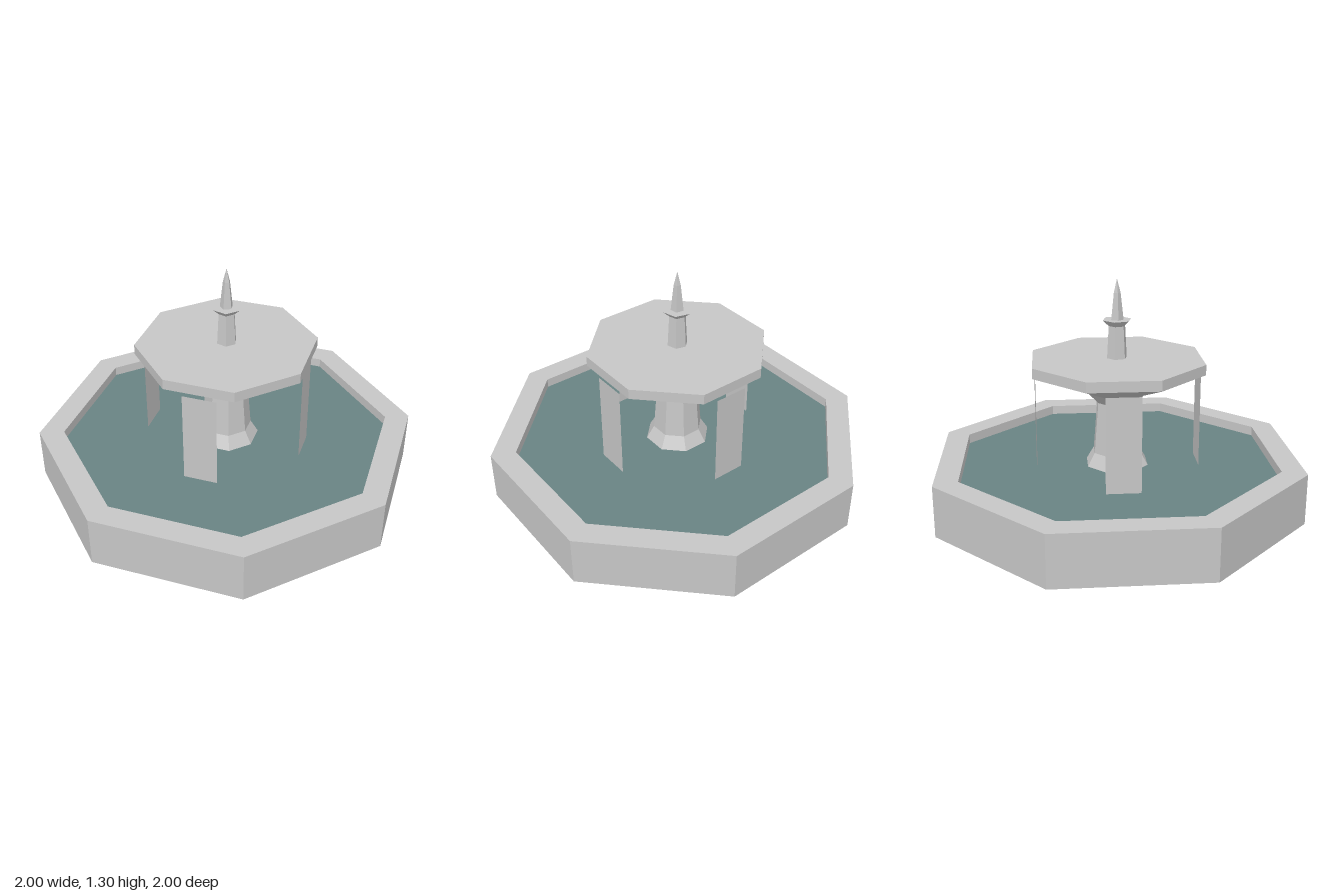
import * as THREE from 'three';

const stone = new THREE.MeshStandardMaterial({ color: 0xc6c6c6, flatShading: true, side: THREE.DoubleSide });
stone.name = 'stone';
const water = new THREE.MeshStandardMaterial({ color: 0x698383, flatShading: true, side: THREE.DoubleSide });
water.name = 'water';

// Faceted turned part; points are [corner radius, height] from bottom to top
function turned(name, points, sides, phase, material = stone) {
  const profile = points.map(([r, y]) => new THREE.Vector2(r, y));
  const mesh = new THREE.Mesh(new THREE.LatheGeometry(profile, sides, phase), material);
  mesh.name = name;
  return mesh;
}

// Octagon with flat sides on the axes; radii are measured to the flats
function octagon(name, points, material) {
  const k = 1 / Math.cos(Math.PI / 8);
  return turned(name, points.map(([r, y]) => [r * k, y]), 8, Math.PI / 8, material);
}

export function createModel() {
  const group = new THREE.Group();
  group.name = 'fountain';

  // Pool: hollow wall, open underneath, with a thin water surface
  group.add(octagon('basinWall', [[1, 0], [1, 0.29], [0.87, 0.29], [0.87, 0]]));
  group.add(octagon('poolWater', [[0.87, 0.235], [0, 0.235]], water));

  // Pedestal with flared foot
  group.add(octagon('pedestal', [[0.17, 0.235], [0.13, 0.31], [0.108, 0.605]]));

  // Upper bowl with a flat top
  group.add(octagon('upperBowl', [
    [0.108, 0.605], [0.16, 0.665], [0.468, 0.797], [0.468, 0.855], [0, 0.855],
  ]));

  // Four falling sheets under the diagonal sides of the bowl
  for (let i = 0; i < 4; i++) {
    const angle = Math.PI / 4 + i * Math.PI / 2;
    const sheet = new THREE.Mesh(new THREE.PlaneGeometry(0.19, 0.537), stone);
    sheet.name = 'fallingSheet' + (i + 1);
    sheet.position.set(0.458 * Math.sin(angle), 0.4985, 0.458 * Math.cos(angle));
    sheet.rotation.y = angle;
    group.add(sheet);
  }

  // Finial: hexagonal shaft and collar, five-sided spike
  group.add(turned('finialShaft', [[0.058, 0.855], [0.048, 1.037]], 6, Math.PI / 6));
  group.add(turned('finialCollar', [[0.048, 1.037], [0.083, 1.07], [0, 1.07]], 6, Math.PI / 6));
  group.add(turned('finialSpike', [[0.037, 1.07], [0.02, 1.22], [0, 1.297]], 5, Math.PI / 2));

  return group;
}
